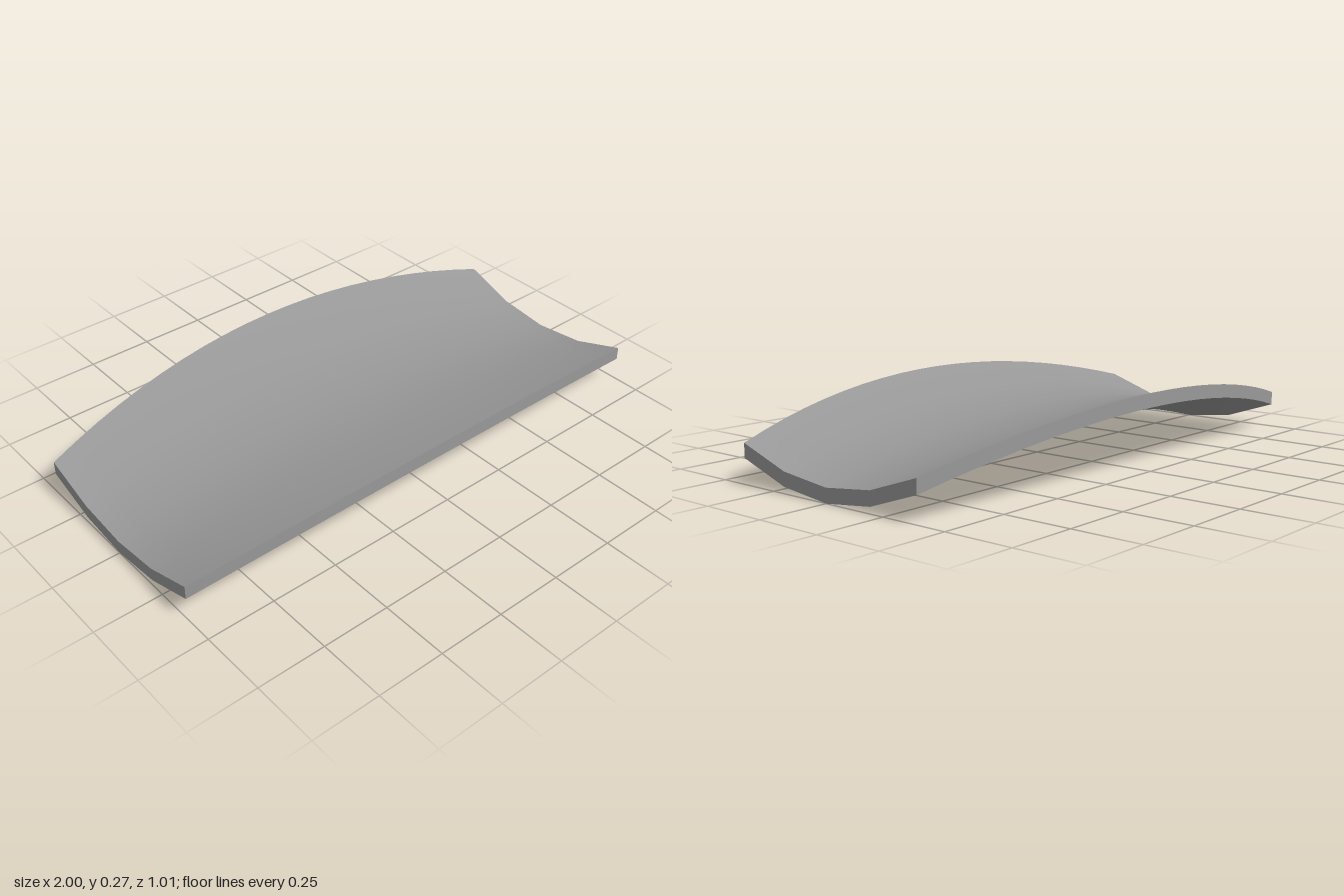
import * as THREE from 'three';

const THICKNESS = 0.05;

// Curved panel: arched along x, dished across z, narrowing toward both ends
function panelGeometry() {
  const geo = new THREE.BoxGeometry(2, 1, 2, 20, 1, 4);
  const pos = geo.attributes.position;
  for (let i = 0; i < pos.count; i++) {
    const x = pos.getX(i);
    const t = pos.getZ(i); // -1..1 across the width
    const top = 0.182 + 0.088 * t * t - 0.132 * x * x;
    const halfWidth = 0.503 - 0.111 * x * x;
    pos.setXYZ(i, x, pos.getY(i) > 0 ? top : top - THICKNESS, t * halfWidth);
  }
  // Box sides share no vertices, so the rim stays sharp and the faces smooth
  geo.computeVertexNormals();
  return geo;
}

export function createModel() {
  const group = new THREE.Group();
  group.name = 'curvedPanel';
  const panel = new THREE.Mesh(
    panelGeometry(),
    new THREE.MeshStandardMaterial({ color: 0x999999 })
  );
  panel.name = 'saddlePanel';
  group.add(panel);
  return group;
}
